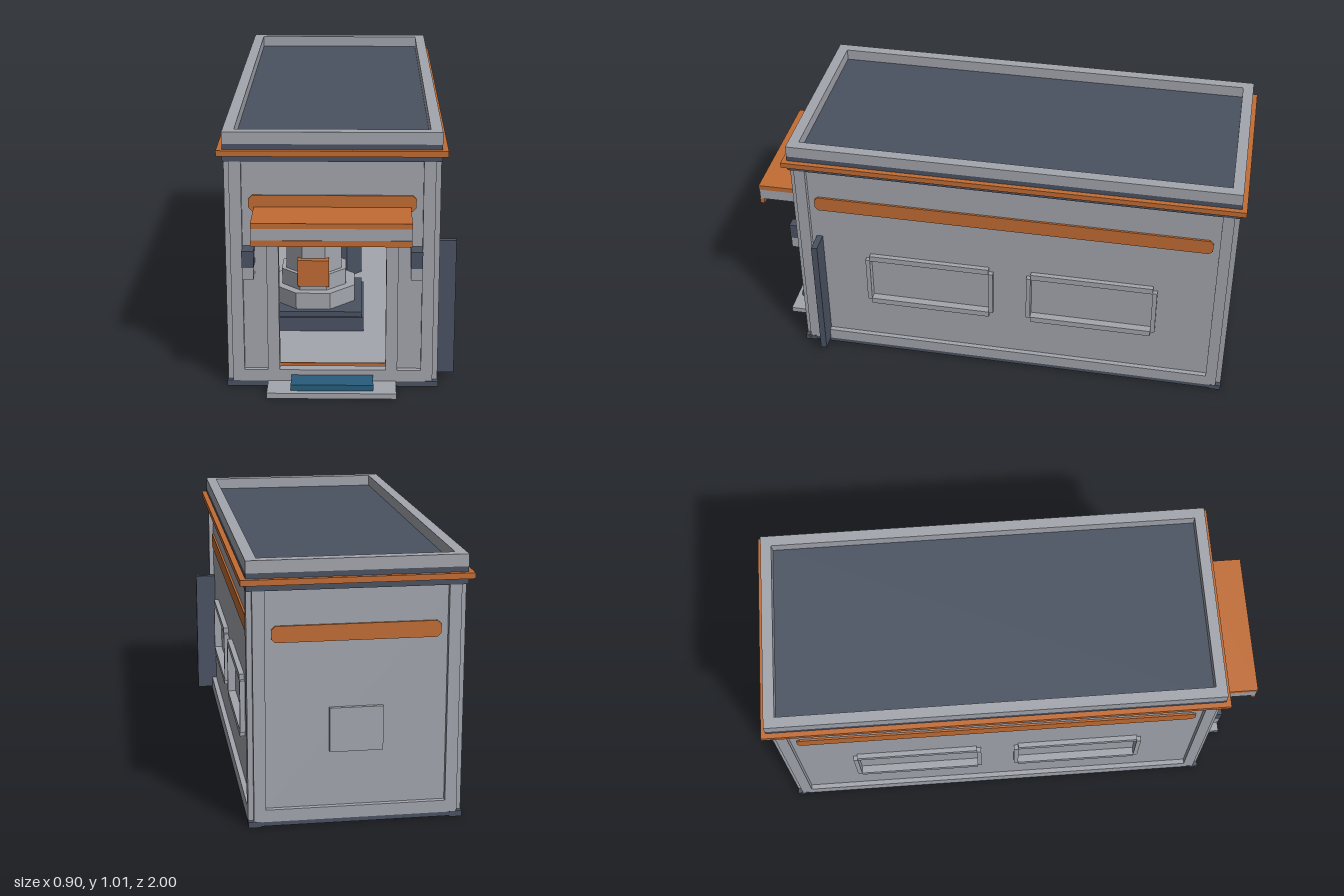
import * as THREE from 'three';

const mat = (name, color) => Object.assign(new THREE.MeshStandardMaterial({ color }), { name });
const grey = mat('wallGrey', 0xa3a6ae);
const dark = mat('slate', 0x4a5262);
const orange = mat('orange', 0xc26c33);
const blue = mat('matBlue', 0x285c7c);

const CX = -0.0225, CZ = -0.0775;   // centre of the building
const HW = 0.3825, HL = 0.8775;     // half width and half length of the wall core

// Box given by its lower and upper bounds
function box(parent, name, m, x0, x1, y0, y1, z0, z1) {
  const mesh = new THREE.Mesh(new THREE.BoxGeometry(x1 - x0, y1 - y0, z1 - z0), m);
  mesh.position.set((x0 + x1) / 2, (y0 + y1) / 2, (z0 + z1) / 2);
  mesh.name = name;
  parent.add(mesh);
  return mesh;
}

// Rectangle outline, used for shapes and holes
function rect(path, x0, x1, y0, y1) {
  path.moveTo(x0, y0).lineTo(x1, y0).lineTo(x1, y1).lineTo(x0, y1).closePath();
  return path;
}

function extrude(parent, name, m, shape, depth, z) {
  const mesh = new THREE.Mesh(new THREE.ExtrudeGeometry(shape, { depth, bevelEnabled: false }), m);
  mesh.position.z = z;
  mesh.name = name;
  parent.add(mesh);
  return mesh;
}

// Horizontal rectangular ring around the building centre
function ring(parent, name, m, hw, hl, t, y0, y1) {
  const s = rect(new THREE.Shape(), -hw, hw, -hl, hl);
  s.holes.push(rect(new THREE.Path(), -hw + t, hw - t, -hl + t, hl - t));
  const mesh = extrude(parent, name, m, s, y1 - y0, CZ);
  mesh.rotation.x = -Math.PI / 2;
  mesh.position.set(CX, y0, CZ);
}

// Window: plus-shaped raised frame with a recessed pane
function addWindow(wall, u) {
  const g = new THREE.Group();
  g.name = 'window';
  g.position.x = u;
  for (const y of [0.25, 0.475]) box(g, 'windowRail', grey, -0.25, 0.25, y, y + 0.025, 0, 0.02);
  for (const s of [-1, 1]) {
    const a = s * 0.25, b = s * 0.268;
    box(g, 'windowSide', grey, Math.min(a, b), Math.max(a, b), 0.272, 0.478, 0, 0.02);
  }
  box(g, 'windowPane', grey, -0.25, 0.25, 0.275, 0.475, -0.02, -0.012);
  wall.add(g);
}

// Wall in local space: x runs along it, +z points outward
function makeWall(name, half, holes) {
  const g = new THREE.Group();
  g.name = name;
  const s = rect(new THREE.Shape(), -half, half, 0.02, 0.905);
  for (const h of holes) s.holes.push(rect(new THREE.Path(), ...h));
  extrude(g, 'wallPanel', grey, s, 0.02, -0.02);
  box(g, 'wallPostA', grey, -half, -half + 0.045, 0.02, 0.9, 0, 0.02);
  box(g, 'wallPostB', grey, half - 0.045, half, 0.02, 0.9, 0, 0.02);
  box(g, 'wallSill', grey, -half + 0.045, half - 0.045, 0.02, 0.067, 0, 0.02);
  // painted stripe with clipped ends
  const e = half - 0.07, c = 0.014;
  const st = new THREE.Shape();
  st.moveTo(-e, 0.703 + c).lineTo(-e + c, 0.703).lineTo(e - c, 0.703).lineTo(e, 0.703 + c)
    .lineTo(e, 0.765 - c).lineTo(e - c, 0.765).lineTo(-e + c, 0.765).lineTo(-e, 0.765 - c).closePath();
  extrude(g, 'wallStripe', orange, st, 0.008, 0);
  return g;
}

export function createModel() {
  const model = new THREE.Group();
  model.name = 'building';

  // Side walls with two windows each
  const offsets = [-0.3375, 0.3375];
  for (const s of [1, -1]) {
    const w = makeWall(s > 0 ? 'leftWall' : 'rightWall', HL, offsets.map(u => [u - 0.25, u + 0.25, 0.275, 0.475]));
    offsets.forEach(u => addWindow(w, u));
    w.rotation.y = s * Math.PI / 2;
    w.position.set(CX + s * HW, 0, CZ);
    model.add(w);
  }

  // Back wall with a small hatch
  const back = makeWall('backWall', HW, []);
  back.rotation.y = Math.PI;
  back.position.set(CX, 0, CZ - HL);
  box(back, 'backHatch', grey, -0.1, 0.1, 0.28, 0.45, 0, 0.015);
  model.add(back);

  // Front wall with doorway and raised door trim
  const front = makeWall('frontWall', HW, [[-0.2025, 0.2025, 0.067, 0.585]]);
  front.position.set(CX, 0, CZ + HL);
  for (const s of [-1, 1]) {
    const a = s * 0.2025, b = s * 0.2475;
    box(front, 'doorPost', grey, Math.min(a, b), Math.max(a, b), 0.02, 0.63, -0.03, 0.022);
    // wall lamps
    const l = s * 0.315;
    box(front, 'lampHood', dark, l - 0.0225, l + 0.0225, 0.5, 0.565, 0, 0.067);
    box(front, 'lampBody', grey, l - 0.0215, l + 0.0215, 0.452, 0.5, 0, 0.065);
  }
  box(front, 'doorLintel', grey, -0.2025, 0.2025, 0.585, 0.63, -0.03, 0.022);
  model.add(front);

  // Base rail and corner feet
  ring(model, 'baseRail', dark, HW + 0.02, HL + 0.02, 0.02, 0.004, 0.02);
  for (const sx of [-1, 1]) for (const sz of [-1, 1]) {
    const x = CX + sx * (HW - 0.003), z = CZ + sz * (HL - 0.003);
    box(model, 'cornerFoot', dark, x - 0.024, x + 0.024, 0, 0.022, z - 0.024, z + 0.024);
  }
  for (const s of [-1, 1]) {
    const x = CX + s * 0.326;
    box(model, 'frontPlinth', dark, x - 0.079, x + 0.079, 0, 0.021, 0.802, 0.821);
  }

  // Roof: slab, trim, parapet
  const W = HW + 0.0225, L = HL + 0.0225;
  box(model, 'roofSlab', dark, CX - W, CX + W, 0.9, 0.966, CZ - L, CZ + L);
  ring(model, 'roofTrim', orange, W + 0.021, L + 0.02, 0.04, 0.924, 0.946);
  ring(model, 'parapet', grey, W, L, 0.043, 0.966, 1.012);

  // Canopy over the door
  box(model, 'canopyTop', orange, -0.315, 0.27, 0.7, 0.72, 0.8, 1.0);
  box(model, 'canopyBody', grey, -0.315, 0.27, 0.655, 0.7, 0.8, 0.998);
  box(model, 'canopyLip', orange, -0.315, 0.27, 0.632, 0.655, 0.982, 1.0);

  // Entrance step and mat
  box(model, 'entranceStep', grey, -0.27, 0.22, 0, 0.022, 0.79, 0.935);
  box(model, 'doorMat', blue, -0.18, 0.133, 0.022, 0.046, 0.82, 0.912);

  // Upright fin on the side
  box(model, 'sideFin', dark, 0.36, 0.447, 0.022, 0.565, 0.71, 0.735);

  // Interior floor with an orange skirting
  box(model, 'floor', grey, CX - 0.337, CX + 0.337, 0.02, 0.03, CZ - 0.832, CZ + 0.86);
  ring(model, 'skirting', orange, 0.34, 0.835, 0.006, 0.018, 0.068);

  // Tiered machine near the door
  const tier = (parent, name, m, r, y0, y1) => {
    const geo = new THREE.CylinderGeometry(r, r, y1 - y0, 8).toNonIndexed();
    geo.computeVertexNormals();
    const mesh = new THREE.Mesh(geo, m);
    mesh.rotation.y = Math.PI / 8;
    mesh.position.y = (y0 + y1) / 2;
    mesh.name = name;
    parent.add(mesh);
  };
  const machine = new THREE.Group();
  machine.name = 'machine';
  machine.position.set(-0.113, 0, 0.14);
  box(machine, 'machineBase', dark, -0.21, 0.21, 0.016, 0.09, -0.21, 0.21);
  box(machine, 'machinePlinth', dark, -0.2, 0.2, 0.09, 0.112, -0.2, 0.2);
  box(machine, 'machineUnderside', grey, -0.13, 0.13, 0.013, 0.016, -0.13, 0.13);
  tier(machine, 'machineSkirt', grey, 0.185, 0.112, 0.182);
  tier(machine, 'machineBody', grey, 0.145, 0.182, 0.25);
  tier(machine, 'machineNeck', grey, 0.125, 0.25, 0.41);
  tier(machine, 'machineCap', grey, 0.095, 0.41, 0.45);
  box(machine, 'machinePanel', orange, -0.065, 0.065, 0.2, 0.315, -0.1, 0.142);
  model.add(machine);

  // Console further back with an orange beacon
  const consoleGroup = new THREE.Group();
  consoleGroup.name = 'console';
  consoleGroup.position.set(-0.025, 0, -0.4);
  tier(consoleGroup, 'consolePedestal', dark, 0.122, 0.015, 0.25);
  tier(consoleGroup, 'consoleColumn', grey, 0.075, 0.25, 0.31);
  box(consoleGroup, 'consoleScreen', grey, -0.11, 0.115, 0.31, 0.475, -0.04, 0.04);
  box(consoleGroup, 'consoleBeacon', orange, -0.022, 0.024, 0.475, 0.565, -0.022, 0.022);
  model.add(consoleGroup);

  return model;
}
